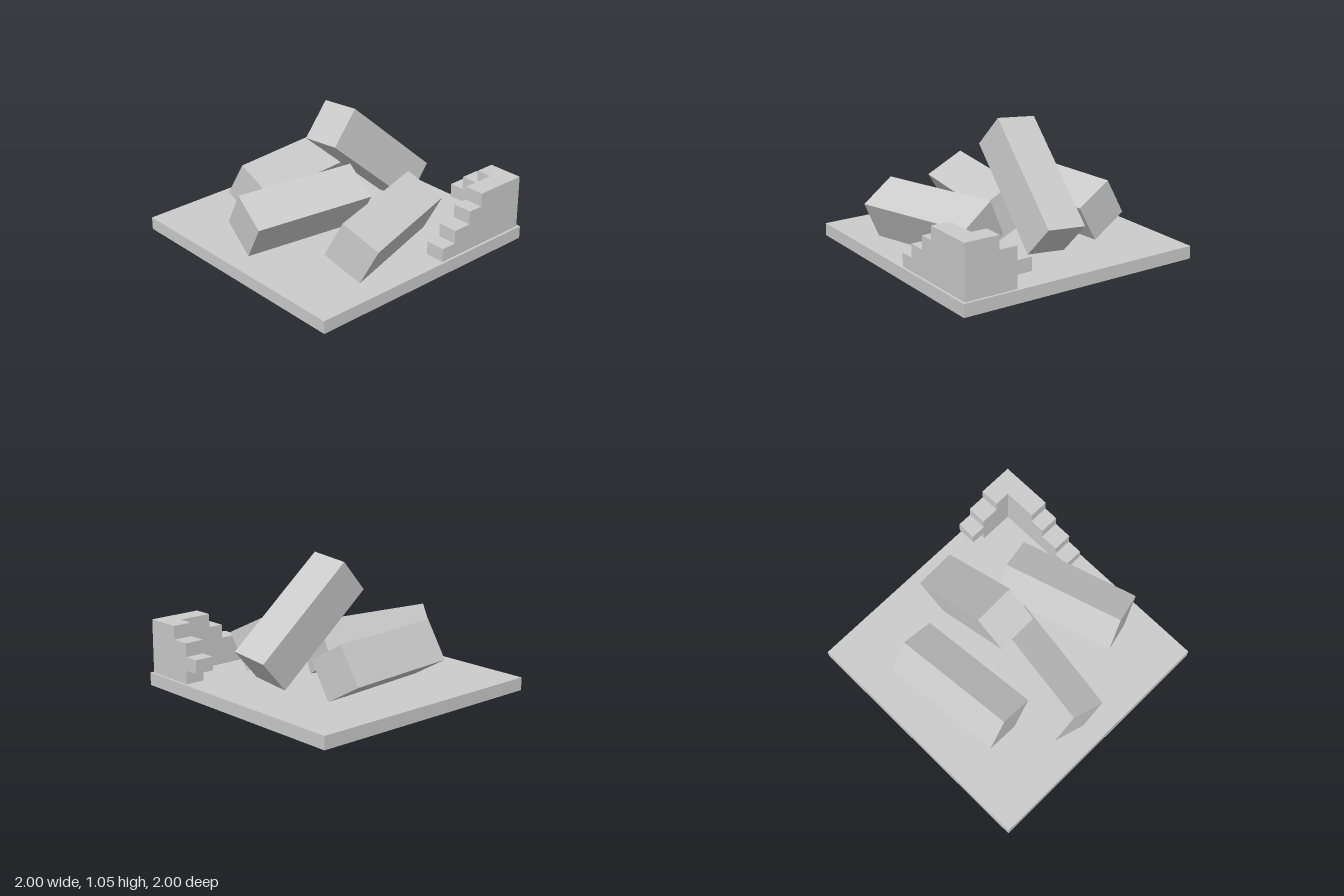
import * as THREE from 'three';

export function createModel() {
  const model = new THREE.Group();
  const material = new THREE.MeshStandardMaterial({ color: 0xcccccc, flatShading: true });

  const addBox = (parent, name, size, position) => {
    const mesh = new THREE.Mesh(new THREE.BoxGeometry(...size), material);
    mesh.name = name;
    mesh.position.set(...position);
    parent.add(mesh);
    return mesh;
  };

  // Square ground slab
  addBox(model, 'groundSlab', [2, 0.1, 2], [0, 0.05, 0]);

  // Fallen blocks: roll about the long axis, yaw about y, pitch for the leaning one
  const blocks = [
    { name: 'backBlock', at: [0.015, 0.328, -0.503], roll: 0.524, yaw: 0.093, pitch: 0 },
    { name: 'middleBlock', at: [-0.343, 0.33, -0.003], roll: 0.524, yaw: -0.15, pitch: 0 },
    { name: 'frontBlock', at: [-0.047, 0.324, 0.595], roll: 0.471, yaw: 0.297, pitch: 0 },
    { name: 'leaningBlock', at: [0.348, 0.59, -0.005], roll: -0.094, yaw: 0, pitch: -0.737 },
  ];
  for (const { name, at, roll, yaw, pitch } of blocks) {
    const block = addBox(model, name, [0.975, 0.325, 0.325], at);
    block.rotation.set(roll, yaw, pitch, 'YXZ');
  }

  // Ruined corner wall: each course has a front arm and a side arm
  const wall = new THREE.Group();
  wall.name = 'cornerWall';
  model.add(wall);
  const outer = 0.98, inner = 0.825, height = 0.105;
  const courses = [ // [front arm start x, side arm start z]
    [0.165, 0.555],
    [0.29, 0.435],
    [0.44, 0.555],
    [0.56, 0.7],
  ];
  courses.forEach(([x, z], i) => {
    const y = 0.1 + height * (i + 0.5);
    addBox(wall, `frontCourse${i + 1}`, [outer - x, height, outer - inner],
      [(outer + x) / 2, y, (outer + inner) / 2]);
    addBox(wall, `sideCourse${i + 1}`, [outer - inner, height, inner - z],
      [(outer + inner) / 2, y, (inner + z) / 2]);
  });

  return model;
}
